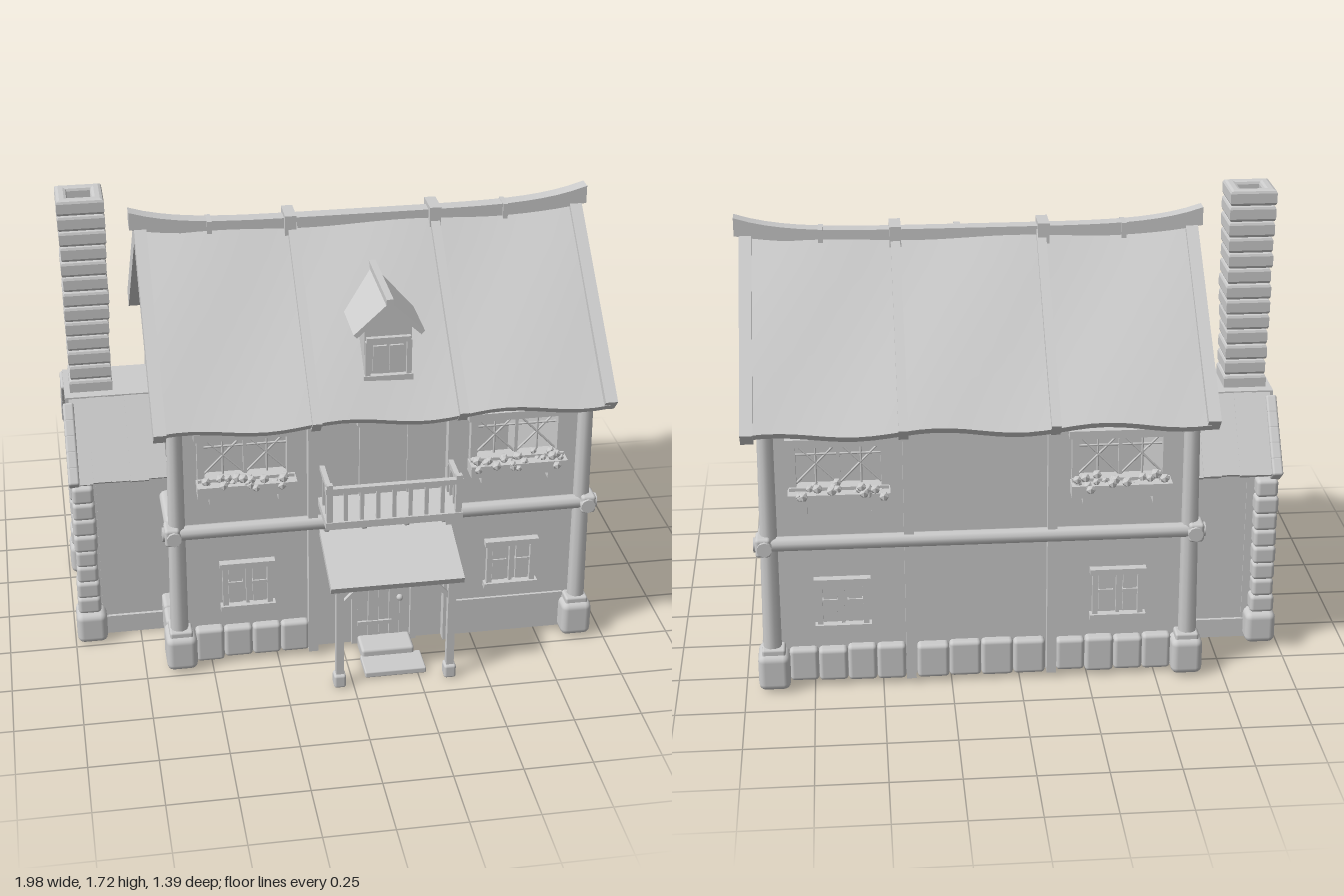
import * as THREE from 'three';
import { RoundedBoxGeometry } from 'three/addons/geometries/RoundedBoxGeometry.js';

const mat = new THREE.MeshStandardMaterial({ color: 0xcccccc, side: THREE.DoubleSide });
mat.name = 'clayGrey';
const V = (x, y, z) => new THREE.Vector3(x, y, z);
let seed = 7;
const rnd = () => (seed = (seed * 16807) % 2147483647) / 2147483647;
const jit = a => (rnd() - 0.5) * 2 * a;

function add(parent, name, geo, x = 0, y = 0, z = 0) {
  const m = new THREE.Mesh(geo, mat);
  m.name = name;
  m.position.set(x, y, z);
  parent.add(m);
  return m;
}
function group(parent, name, x = 0, y = 0, z = 0, ry = 0) {
  const g = new THREE.Group();
  g.name = name;
  g.position.set(x, y, z);
  g.rotation.y = ry;
  parent.add(g);
  return g;
}
const box = (p, name, w, h, d, x, y, z) => add(p, name, new THREE.BoxGeometry(w, h, d), x, y, z);
const stone = (p, name, w, h, d, x, y, z) =>
  add(p, name, new RoundedBoxGeometry(w, h, d, 2, Math.min(w, h, d) * 0.22), x, y, z);
// box running from a to b, with width w and height h
function beam(p, name, a, b, w, h, geo) {
  const m = add(p, name, geo || new THREE.BoxGeometry(w, h, a.distanceTo(b)));
  m.position.copy(a).add(b).multiplyScalar(0.5);
  m.quaternion.setFromRotationMatrix(new THREE.Matrix4().lookAt(b, a, V(0, 1, 0)));
  return m;
}
// round log from a to b
function log(p, name, a, b, r, r2 = r) {
  const g = new THREE.CylinderGeometry(r2, r, a.distanceTo(b), 10).rotateX(Math.PI / 2);
  return beam(p, name, a, b, 0, 0, g);
}
const poly = pts => new THREE.Shape(pts.map(q => new THREE.Vector2(q[0], q[1])));
const rect = (x0, y0, x1, y1) => [[x0, y0], [x1, y0], [x1, y1], [x0, y1]];
const plate = (shape, depth) => new THREE.ExtrudeGeometry(shape, { depth, bevelEnabled: false, curveSegments: 16 });

// row of plinth stones between x0 and x1
function stoneRow(p, x0, x1, z, n) {
  const w = (x1 - x0) / n;
  for (let i = 0; i < n; i++)
    stone(p, 'plinthStone', w * 0.99, 0.135 + jit(0.008), 0.07, x0 + w * (i + 0.5), 0.085, z + jit(0.005));
}

// latticed upper window with flower box
function upperWindow(p, x) {
  const g = group(p, 'upperWindow', x, 0, 0.48);
  box(g, 'lintel', 0.37, 0.03, 0.05, 0, 0.965, 0.015);
  box(g, 'sill', 0.35, 0.025, 0.05, 0, 0.785, 0.015);
  for (const s of [-1, 1]) {
    box(g, 'jamb', 0.025, 0.18, 0.04, s * 0.162, 0.87, 0.01);
    for (const t of [-1, 1])
      log(g, 'latticeBar', V(s * 0.15, 0.875 - t * 0.075, 0), V(s * 0.005, 0.875 + t * 0.075, 0), 0.004);
    log(g, 'windowBar', V(s * 0.08, 0.79, 0), V(s * 0.08, 0.95, 0), 0.004);
    box(g, 'boxBracket', 0.025, 0.05, 0.06, s * 0.125, 0.73, 0.03);
  }
  log(g, 'crossBar', V(-0.16, 0.91, 0), V(0.16, 0.91, 0), 0.004);
  box(g, 'mullion', 0.012, 0.17, 0.02, 0, 0.87, 0);
  box(g, 'flowerBox', 0.36, 0.045, 0.07, 0, 0.763, 0.045);
  for (let i = 0; i < 26; i++)
    add(g, 'flower', new THREE.IcosahedronGeometry(0.012 + rnd() * 0.008, 0), jit(0.165), 0.79 + jit(0.022), 0.055 + jit(0.03));
}

// small shuttered window
function lowerWindow(p, x) {
  const g = group(p, 'lowerWindow', x, 0.328, 0.48);
  box(g, 'lintel', 0.205, 0.022, 0.04, 0, 0.09, 0.01);
  box(g, 'sill', 0.205, 0.022, 0.045, 0, -0.092, 0.01);
  for (const s of [-1, 1]) {
    box(g, 'jamb', 0.02, 0.17, 0.03, s * 0.083, 0, 0.008);
    box(g, 'shutter', 0.05, 0.15, 0.016, s * 0.045, 0, 0.006);
    box(g, 'shutterBar', 0.055, 0.012, 0.024, s * 0.045, 0.01, 0.008);
  }
  box(g, 'mullion', 0.012, 0.16, 0.022, 0, 0, 0.006);
}

// long wall, the same on front and back
function longWall(house, name, ry) {
  const g = group(house, name, 0, 0, 0, ry);
  const shape = poly(rect(-0.75, 0.02, 0.75, 1.08));
  for (const s of [-1, 1]) shape.holes.push(new THREE.Path(poly(rect(s * 0.5 - 0.155, 0.79, s * 0.5 + 0.155, 0.955)).getPoints()));
  add(g, 'wall', plate(shape, 0.03), 0, 0, 0.45);
  for (const s of [-1, 1]) {
    upperWindow(g, s * 0.5);
    lowerWindow(g, s * 0.5);
    box(g, 'middlePost', 0.035, 1.05, 0.05, s * 0.257, 0.545, 0.495);
    log(g, 'cornerPost', V(s * 0.76, 0.1, 0.5), V(s * 0.752, 1.06, 0.5), 0.034, 0.028);
    stone(g, 'cornerStone', 0.115, 0.14, 0.14, s * 0.755, 0.08, 0.49);
    stone(g, 'cornerCap', 0.085, 0.04, 0.105, s * 0.755, 0.15, 0.49);
    stone(g, 'beamCollar', 0.055, 0.072, 0.08, s * 0.775, 0.58, 0.51);
  }
  log(g, 'floorBeam', V(-0.81, 0.58, 0.51), V(0.81, 0.58, 0.51), 0.027);
  return g;
}

// gable wall with scalloped bargeboard and round window
function gableWall(house, name, ry) {
  const g = group(house, name, 0, 0, 0, ry);
  add(g, 'wall', plate(poly([[-0.48, 0.02], [0.48, 0.02], [0.48, 1.1], [0, 1.52], [-0.48, 1.1]]), 0.03), 0, 0, 0.72);
  box(g, 'tieBeam', 0.98, 0.035, 0.05, 0, 1.045, 0.755);
  box(g, 'middlePost', 0.075, 1.02, 0.04, 0, 0.53, 0.76);
  log(g, 'floorBeam', V(-0.56, 0.58, 0.77), V(0.56, 0.58, 0.77), 0.027);
  stoneRow(g, -0.43, 0.43, 0.765, 8);
  const n = 6, at = (s, i) => { const u = 0.46 * i / n; return [s * u, 1.46 - 0.875 * u]; };
  for (const s of [-1, 1]) {
    const sh = new THREE.Shape();
    sh.moveTo(0, 1.54).lineTo(s * 0.52, 1.085).lineTo(...at(s, n));
    for (let i = n - 1; i >= 0; i--) {
      const a = at(s, i + 1), b = at(s, i);
      sh.quadraticCurveTo((a[0] + b[0]) / 2 - s * 0.036, (a[1] + b[1]) / 2 - 0.042, ...b);
    }
    add(g, 'bargeboard', plate(sh, 0.02), 0, 0, 0.76);
  }
  const w = group(g, 'roundWindow', 0, 1.215, 0.755);
  add(w, 'ring', new THREE.TorusGeometry(0.074, 0.011, 8, 28));
  add(w, 'pane', new THREE.CircleGeometry(0.07, 28));
  box(w, 'bar', 0.14, 0.014, 0.014, 0, 0, 0);
  box(w, 'bar', 0.014, 0.14, 0.014, 0, 0, 0);
  return g;
}

function mainRoof(house) {
  const g = group(house, 'roof');
  for (const s of [-1, 1]) {
    // gently rippled slope
    const geo = new THREE.BoxGeometry(1.62, 0.035, 0.8, 30, 1, 6), p = geo.attributes.position;
    for (let i = 0; i < p.count; i++) {
      const x = p.getX(i), z = p.getZ(i), t = z / 0.8 + 0.5;
      p.setZ(i, z + t * 0.012 * Math.sin(x * 11));
      p.setY(i, p.getY(i) + 0.004 * Math.sin(x * 9 + t * 4));
    }
    geo.computeVertexNormals();
    beam(g, 'slope', V(0, 1.55, 0), V(0, 1.022, s * 0.595), 0, 0, geo);
    for (const x of [-0.81, -0.257, 0.272, 0.81])
      beam(g, 'rafter', V(x, 1.555, 0), V(x, 1.022, s * 0.605), Math.abs(x) > 0.5 ? 0.045 : 0.034, 0.065);
  }
  // ridge beam sweeping up at both ends
  const geo = new THREE.BoxGeometry(1.7, 0.045, 0.055, 30, 1, 1), p = geo.attributes.position;
  for (let i = 0; i < p.count; i++) {
    const x = p.getX(i), k = Math.abs(x) / 0.85;
    p.setY(i, p.getY(i) * (1 + 0.5 * k ** 6) + 0.045 * k ** 5);
  }
  geo.computeVertexNormals();
  add(g, 'ridgeBeam', geo, 0, 1.563, 0);
  for (const x of [-0.265, 0.272]) box(g, 'ridgeClamp', 0.042, 0.075, 0.11, x, 1.565, 0);
  for (const x of [-0.56, 0.54]) box(g, 'ridgeBand', 0.018, 0.065, 0.075, x, 1.56, 0);
}

function dormer(house) {
  const g = group(house, 'dormer', 0.02, 0, 0);
  add(g, 'dormerBody', plate(poly([[-0.085, 1.13], [0.085, 1.13], [0.085, 1.33], [0, 1.415], [-0.085, 1.33]]), 0.36), 0, 0, 0.115);
  for (const s of [-1, 1]) {
    const slope = beam(g, 'dormerSlope', V(0, 1.425, 0.315), V(s * 0.122, 1.312, 0.315), 0.36, 0.018);
    slope.name = 'dormerSlope';
    box(g, 'dormerJamb', 0.018, 0.15, 0.02, s * 0.075, 1.21, 0.48);
    box(g, 'dormerShutter', 0.05, 0.1, 0.012, s * 0.03, 1.215, 0.478);
  }
  box(g, 'dormerRidge', 0.025, 0.04, 0.37, 0, 1.43, 0.315);
  box(g, 'dormerLintel', 0.16, 0.02, 0.025, 0, 1.29, 0.48);
  box(g, 'dormerSill', 0.18, 0.025, 0.03, 0, 1.14, 0.48);
}

function balcony(house) {
  const g = group(house, 'balcony', 0.015, 0, 0);
  box(g, 'balconyFloor', 0.5, 0.028, 0.19, 0, 0.655, 0.58);
  for (const s of [-1, 1]) {
    box(g, 'railPost', 0.022, 0.17, 0.022, s * 0.235, 0.735, 0.66);
    beam(g, 'sideRail', V(s * 0.235, 0.795, 0.49), V(s * 0.235, 0.795, 0.66), 0.018, 0.018);
    for (const z of [0.54, 0.6]) box(g, 'baluster', 0.013, 0.13, 0.013, s * 0.235, 0.73, z);
  }
  box(g, 'frontRail', 0.5, 0.02, 0.022, 0, 0.795, 0.66);
  for (let i = 1; i < 8; i++) box(g, 'baluster', 0.014, 0.13, 0.014, -0.235 + i * 0.0588, 0.73, 0.66);
  for (const x of [-0.22, -0.08, 0.08, 0.22]) {
    const c = new THREE.QuadraticBezierCurve3(V(x, 0.54, 0.5), V(x, 0.61, 0.53), V(x, 0.64, 0.64));
    add(g, 'bracket', new THREE.TubeGeometry(c, 8, 0.014, 6));
  }
  box(g, 'balconyDoor', 0.165, 0.3, 0.012, 0, 0.815, 0.482);
  for (const s of [-1, 1]) box(g, 'doorJamb', 0.02, 0.3, 0.025, s * 0.088, 0.815, 0.485);
  box(g, 'doorLintel', 0.215, 0.025, 0.035, 0, 0.97, 0.488);
}

function porch(house) {
  const g = group(house, 'porch', 0.015, 0, 0);
  beam(g, 'porchRoof', V(0, 0.525, 0.49), V(0, 0.435, 0.76), 0.49, 0.025);
  box(g, 'porchBeam', 0.46, 0.025, 0.025, 0, 0.42, 0.72);
  for (const s of [-1, 1]) {
    box(g, 'porchPost', 0.028, 0.41, 0.028, s * 0.207, 0.215, 0.72);
    stone(g, 'postFoot', 0.045, 0.055, 0.05, s * 0.207, 0.027, 0.72);
    beam(g, 'porchBrace', V(s * 0.207, 0.34, 0.72), V(s * 0.135, 0.42, 0.72), 0.016, 0.016);
    beam(g, 'sideBeam', V(s * 0.207, 0.42, 0.48), V(s * 0.207, 0.42, 0.73), 0.022, 0.022);
    box(g, 'doorJamb', 0.022, 0.4, 0.03, s * 0.112, 0.225, 0.487);
  }
  box(g, 'doorLintel', 0.25, 0.025, 0.035, 0, 0.43, 0.488);
  for (let i = 0; i < 5; i++) box(g, 'doorPlank', 0.038, 0.38, 0.016, -0.08 + i * 0.04, 0.225, 0.483 + (i % 2) * 0.003);
  for (const y of [0.11, 0.335]) box(g, 'doorStrap', 0.13, 0.016, 0.02, -0.035, y, 0.49);
  add(g, 'doorKnob', new THREE.SphereGeometry(0.013, 10, 8), 0.06, 0.215, 0.5);
  stone(g, 'upperStep', 0.2, 0.05, 0.11, 0, 0.028, 0.54);
  stone(g, 'lowerStep', 0.23, 0.024, 0.12, 0.01, 0.014, 0.64);
}

// hearth bay on the right-hand end with the stone chimney above
function chimneyBay(root) {
  const g = group(root, 'chimneyBay', 0, 0, -0.08);
  const end = poly([[-0.26, 0.02], [0.26, 0.02], [0.26, 0.72], [0.11, 0.93], [-0.11, 0.93], [-0.26, 0.72]]);
  const arch = new THREE.Path();
  arch.moveTo(-0.19, 0.06).lineTo(-0.19, 0.5).absarc(0, 0.5, 0.19, Math.PI, 0, true).lineTo(0.19, 0.06);
  arch.closePath();
  end.holes.push(arch);
  const e = group(g, 'bayEnd', -0.94, 0, 0, -Math.PI / 2);
  add(e, 'archedWall', plate(end, 0.03), 0, 0, -0.03);
  add(e, 'archRing', new THREE.TorusGeometry(0.2, 0.018, 6, 20, Math.PI), 0, 0.5, 0);
  box(g, 'archBack', 0.02, 0.7, 0.5, -0.88, 0.37, 0);
  for (const s of [-1, 1]) {
    box(g, 'bayWall', 0.32, 0.72, 0.03, -0.77, 0.37, s * 0.23);
    box(g, 'bayPlinth', 0.3, 0.075, 0.045, -0.75, 0.04, s * 0.235);
    stone(g, 'columnBase', 0.115, 0.125, 0.13, -0.935, 0.063, s * 0.255);
    for (let i = 0; i < 8; i++)
      stone(g, 'columnStone', 0.085 + jit(0.008), 0.07, 0.09 + jit(0.008), -0.94, 0.158 + i * 0.068, s * 0.255);
    for (let i = 0; i < 5; i++) beam(g, 'roofBoard', V(-0.933 + i * 0.068, 0.945, s * 0.11),
      V(-0.933 + i * 0.068, 0.69 + jit(0.006), s * 0.3), 0.068, 0.024 + (i % 2) * 0.006);
    for (let i = 0; i < 5; i++) {
      const t = (i + 0.5) / 5;
      stone(g, 'vergeStone', 0.04, 0.075, 0.07, -0.97, 0.92 - t * 0.235, s * (0.11 + t * 0.185)).rotation.x = s * 0.9;
    }
  }
  box(g, 'bayRoofCap', 0.36, 0.035, 0.24, -0.8, 0.94, 0);
  // hollow chimney laid in courses
  const c = group(g, 'chimney', -0.88, 0, 0);
  for (let i = 0; i < 13; i++) {
    const h = 0.067 + jit(0.005);
    const sh = poly(rect(-h, -h, h, h));
    sh.holes.push(new THREE.Path(poly(rect(-0.055, -0.055, 0.055, 0.055)).getPoints()));
    const geo = new THREE.ExtrudeGeometry(sh, { depth: 0.036, bevelThickness: 0.012, bevelSize: 0.013, bevelSegments: 2 });
    add(c, 'chimneyCourse', geo.rotateX(-Math.PI / 2), jit(0.002), 0.957 + i * 0.0595, 0);
  }
}

export function createModel() {
  seed = 7;
  const root = new THREE.Group();
  root.name = 'cottage';
  const house = group(root, 'house', 0.14, 0, -0.07);
  box(house, 'floor', 1.5, 0.03, 0.96, 0, 0.035, 0);
  const front = longWall(house, 'frontWall', 0);
  stoneRow(front, -0.7, -0.27, 0.48, 4);
  box(front, 'plainPlinth', 0.44, 0.15, 0.03, 0.49, 0.095, 0.475);
  const back = longWall(house, 'backWall', Math.PI);
  for (const x of [-0.7, -0.235, 0.275]) stoneRow(back, x, x + (x === -0.235 ? 0.47 : 0.425), 0.48, 4);
  const left = gableWall(house, 'leftGable', Math.PI / 2);
  gableWall(house, 'rightGable', -Math.PI / 2);
  // planks on the left gable
  beam(left, 'brace', V(-0.12, 0.6, 0.752), V(-0.03, 0.77, 0.752), 0.02, 0.035);
  box(left, 'plank', 0.075, 0.24, 0.03, 0.08, 0.72, 0.755);
  mainRoof(house);
  dormer(house);
  balcony(house);
  porch(house);
  chimneyBay(root);
  return root;
}
